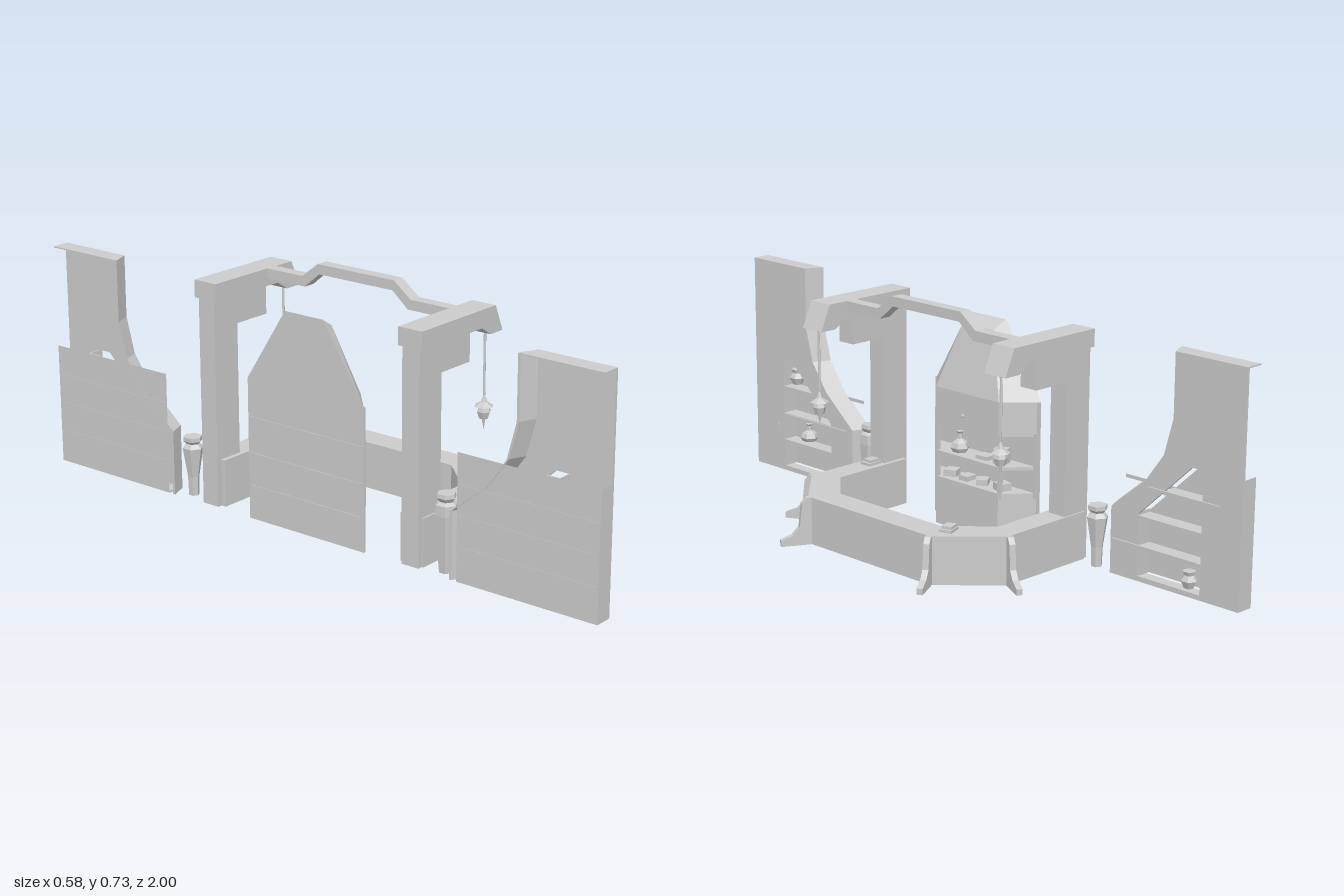
import * as THREE from 'three';
import { ConvexGeometry } from 'three/addons/geometries/ConvexGeometry.js';

export function createModel() {
  const root = new THREE.Group();
  root.name = 'shopCounter';
  const stone = new THREE.MeshStandardMaterial({ color: 0xcccccc, flatShading: true });
  stone.name = 'pale grey';

  const add = (name, geo, x = 0, y = 0, z = 0) => {
    const m = new THREE.Mesh(geo, stone);
    m.name = name;
    m.position.set(x, y, z);
    root.add(m);
    return m;
  };
  const box = (name, w, h, d, x, y, z) => add(name, new THREE.BoxGeometry(w, h, d), x, y, z);
  const path = (pts) => pts.map(([a, b]) => new THREE.Vector2(a, b));
  const extrude = (pts, depth, holes = []) => {
    const shape = new THREE.Shape(path(pts));
    holes.forEach((h) => shape.holes.push(new THREE.Path(path(h))));
    return new THREE.ExtrudeGeometry(shape, { depth, bevelEnabled: false });
  };
  // [z, y] outline extruded along x
  const slab = (pts, x0, x1, holes = []) => {
    const flip = (l) => l.map(([z, y]) => [-z, y]);
    return extrude(flip(pts), x1 - x0, holes.map(flip)).rotateY(Math.PI / 2).translate(x0, 0, 0);
  };
  // [x, z] outline extruded along y
  const plan = (pts, y0, y1) =>
    extrude(pts.map(([x, z]) => [x, -z]), y1 - y0).rotateX(-Math.PI / 2).translate(0, y0, 0);
  // [x, y] outline extruded along z
  const side = (pts, z0, z1) => extrude(pts, z1 - z0).translate(0, 0, z0);
  const turned = (pts, sides = 6) => new THREE.LatheGeometry(path(pts), sides);
  const backPlane = (name, w, h, z, y) =>
    add(name, new THREE.PlaneGeometry(w, h).rotateY(-Math.PI / 2), -0.291, y, z);

  const flask = [[0, 0], [0.022, 0], [0.03, 0.012], [0.024, 0.026], [0.008, 0.036], [0.007, 0.05], [0.012, 0.056], [0, 0.056]];
  const pot = [[0, 0], [0.015, 0], [0.025, 0.022], [0.015, 0.038], [0.02, 0.05], [0, 0.052]];

  // Curved wall panels with display niches
  const frontCurve = [[0.54, 0], [0.54, 0.2], [0.66, 0.3], [0.725, 0.39], [0.755, 0.5], [0.755, 0.69]];
  const niche = [[0.865, 0.015], [0.865, 0.375], [0.825, 0.375], [0.64, 0.2], [0.64, 0.015]];
  for (const s of [1, -1]) {
    const mir = (l) => l.map(([z, y]) => [s * z, y]);
    add('wallPanel', slab(mir([...frontCurve, [1, 0.69], [1, 0]]), -0.243, -0.235, [mir(niche)]));

    // inner edge leans inwards towards the back
    const inner = [...frontCurve].reverse().map(([z, y]) => [z + 0.008, y + (y > 0 && y < 0.6 ? 0.003 : 0)]);
    const edge = slab(mir([...frontCurve, ...inner]), -0.292, -0.235);
    const p = edge.attributes.position;
    for (let i = 0; i < p.count; i++) {
      const t = (-0.235 - p.getX(i)) / 0.057;
      p.setZ(i, p.getZ(i) - s * 0.024 * t);
    }
    add('wallEdge', edge);

    add('wallTop', plan([[-0.292, s * 0.73], [-0.235, s * 0.755], [-0.235, s], [-0.292, s]], 0.686, 0.69));
    box('wallBase', 0.056, 0.006, 0.46, -0.263, 0.003, s * 0.77);
    backPlane('wallBack', 0.46, 0.375, s * 0.77, 0.1875);
    const end = new THREE.PlaneGeometry(0.056, 0.375);
    if (s < 0) end.rotateY(Math.PI);
    add('wallEnd', end, -0.263, 0.1875, s);
    for (const y of [0.1, 0.19, 0.28]) box('backStrip', 0.003, 0.01, 0.45, -0.2905, y, s * 0.77);

    // niche lining and shelves
    add('nicheBack', slab(mir(niche), -0.288, -0.284));
    box('nicheSide', 0.05, 0.36, 0.004, -0.263, 0.195, s * 0.867);
    box('nicheSide', 0.05, 0.19, 0.004, -0.263, 0.108, s * 0.638);
    for (const [y, z0] of [[0.1, 0.64], [0.19, 0.64], [0.28, 0.726]])
      box('nicheShelf', 0.051, 0.01, 0.865 - z0, -0.26, y, s * (0.865 + z0) / 2);
  }
  add('flask', turned(flask), -0.258, 0.115, 0.77);
  add('smallLantern', turned(pot), -0.258, 0.295, 0.825);
  add('pot', turned(pot), -0.258, 0.018, -0.81);
  box('wallHandle', 0.006, 0.04, 0.008, -0.232, 0.135, 0.89);
  box('wallLedge', 0.006, 0.006, 0.3, -0.233, 0.105, -0.7);
  box('wallLedge', 0.006, 0.006, 0.25, -0.233, 0.285, -0.8);
  box('wallLedge', 0.006, 0.006, 0.3, -0.233, 0.19, 0.715);

  // Arch posts with overhanging beams and hanging lanterns
  const post = [[-0.285, 0], [-0.188, 0], [-0.188, 0.545], [-0.061, 0.545], [-0.061, 0.635], [-0.285, 0.635]];
  const beam = [[-0.29, 0.633], [-0.02, 0.633], [0.02, 0.607], [0.076, 0.607], [0.042, 0.686], [-0.29, 0.686]];
  for (const s of [1, -1]) {
    const c = s * 0.375;
    add('archPost', side(post, c - 0.03, c + 0.03));
    add('archBeam', side(beam, c - 0.041, c + 0.041));
    add('lanternRod', new THREE.CylinderGeometry(0.004, 0.004, 0.19, 6), 0.05, 0.508, c);
    add('lanternHook', turned([[0, 0.598], [0.005, 0.598], [0.01, 0.607], [0, 0.607]]), 0.05, 0, c);
    add('lantern', turned([[0, 0.31], [0.006, 0.343], [0.014, 0.345], [0.021, 0.366], [0.016, 0.38],
      [0.029, 0.381], [0.01, 0.394], [0, 0.42]]), 0.05, 0, c);
  }
  add('crossBeam', slab([[0.335, 0.656], [0.19, 0.656], [0.135, 0.702], [-0.135, 0.702], [-0.19, 0.656], [-0.335, 0.656],
    [-0.335, 0.686], [-0.2, 0.686], [-0.14, 0.732], [0.14, 0.732], [0.2, 0.686], [0.335, 0.686]], -0.065, -0.027));

  // Counter with a faceted front
  const outer = [[-0.27, 0.41], [0.055, 0.41], [0.207, 0.255]];
  const innerRim = [[0.12, 0.21], [0.01, 0.33], [-0.27, 0.33]];
  const m = (l) => l.map(([x, z]) => [x, -z]).reverse();
  add('counter', plan([...outer, ...m(outer), ...m(innerRim), ...innerRim], 0, 0.145));

  // Flared feet at the counter corners
  const foot = [[-0.02, 0], [0.09, 0], [0.09, 0.018], [0.055, 0.032], [0.034, 0.055], [0.026, 0.128], [0.012, 0.145], [-0.02, 0.145]];
  for (const s of [1, -1])
    for (const [x, z, dx, dz] of [[0.047, 0.41, 0.46, 0.89], [0.205, 0.25, 0.88, 0.47]])
      add('counterFoot', side(foot, -0.009, 0.009), x, 0, s * z).rotation.y = -s * Math.atan2(dz, dx);

  // Small stacked boxes on the counter
  for (const [x, z, r] of [[-0.155, 0.37, 0], [0.133, -0.255, 0.35]]) {
    box('counterTray', 0.05, 0.008, 0.04, x, 0.149, z).rotation.y = r;
    box('counterBox', 0.038, 0.008, 0.03, x - 0.003, 0.157, z).rotation.y = r;
  }

  // Central cabinet with open shelves and a tapered hood
  const bay = [[-0.29, 0.215], [-0.2, 0.13], [-0.2, -0.13], [-0.29, -0.215]];
  add('cabinetBase', plan(bay, 0, 0.14));
  for (const y of [0.14, 0.222]) add('cabinetShelf', plan(bay, y, y + 0.01));
  add('cabinetTop', plan(bay, 0.325, 0.43));
  box('cabinetBack', 0.008, 0.43, 0.43, -0.286, 0.215, 0);
  for (const s of [1, -1]) {
    box('cabinetPost', 0.012, 0.2, 0.012, -0.208, 0.235, s * 0.13);
    box('cabinetRearPost', 0.012, 0.2, 0.012, -0.282, 0.235, s * 0.205);
  }
  const hood = [];
  for (const s of [1, -1])
    hood.push([-0.29, 0.43, s * 0.215], [-0.2, 0.43, s * 0.13], [-0.245, 0.628, s * 0.063], [-0.29, 0.655, s * 0.07]);
  add('cabinetHood', new ConvexGeometry(hood.map((v) => new THREE.Vector3(...v))));
  for (const y of [0.1, 0.2, 0.31]) box('backStrip', 0.003, 0.01, 0.42, -0.2905, y, 0);
  add('drawerKnob', new THREE.SphereGeometry(0.006, 6, 4), -0.198, 0.36, 0.015);

  // Goods on the cabinet shelves
  add('flask', turned(flask.map(([r, y]) => [r, y * 1.15])), -0.238, 0.232, 0.065);
  for (const [y, z, w, h, r] of [[0.232, -0.105, 0.04, 0.045, 0.3], [0.232, -0.04, 0.045, 0.012, 0.1],
    [0.15, 0.1, 0.04, 0.02, 0.4], [0.15, 0.035, 0.035, 0.015, 0], [0.15, -0.03, 0.035, 0.018, 0.6], [0.15, -0.11, 0.04, 0.022, -0.3]])
    box('goodsBox', 0.04, h, w, -0.24, y + h / 2, z).rotation.y = r;

  // Tall vases beside the counter
  add('tallVase', turned([[0, 0], [0.02, 0], [0.022, 0.02], [0.034, 0.17], [0.032, 0.2], [0.02, 0.208], [0.029, 0.22], [0.027, 0.232], [0, 0.232]]),
    -0.252, 0, 0.475);
  add('shortVase', turned([[0, 0], [0.016, 0], [0.018, 0.06], [0.032, 0.15], [0.02, 0.163], [0.029, 0.172], [0.029, 0.185], [0, 0.185]]),
    -0.252, 0, -0.475);
  return root;
}
